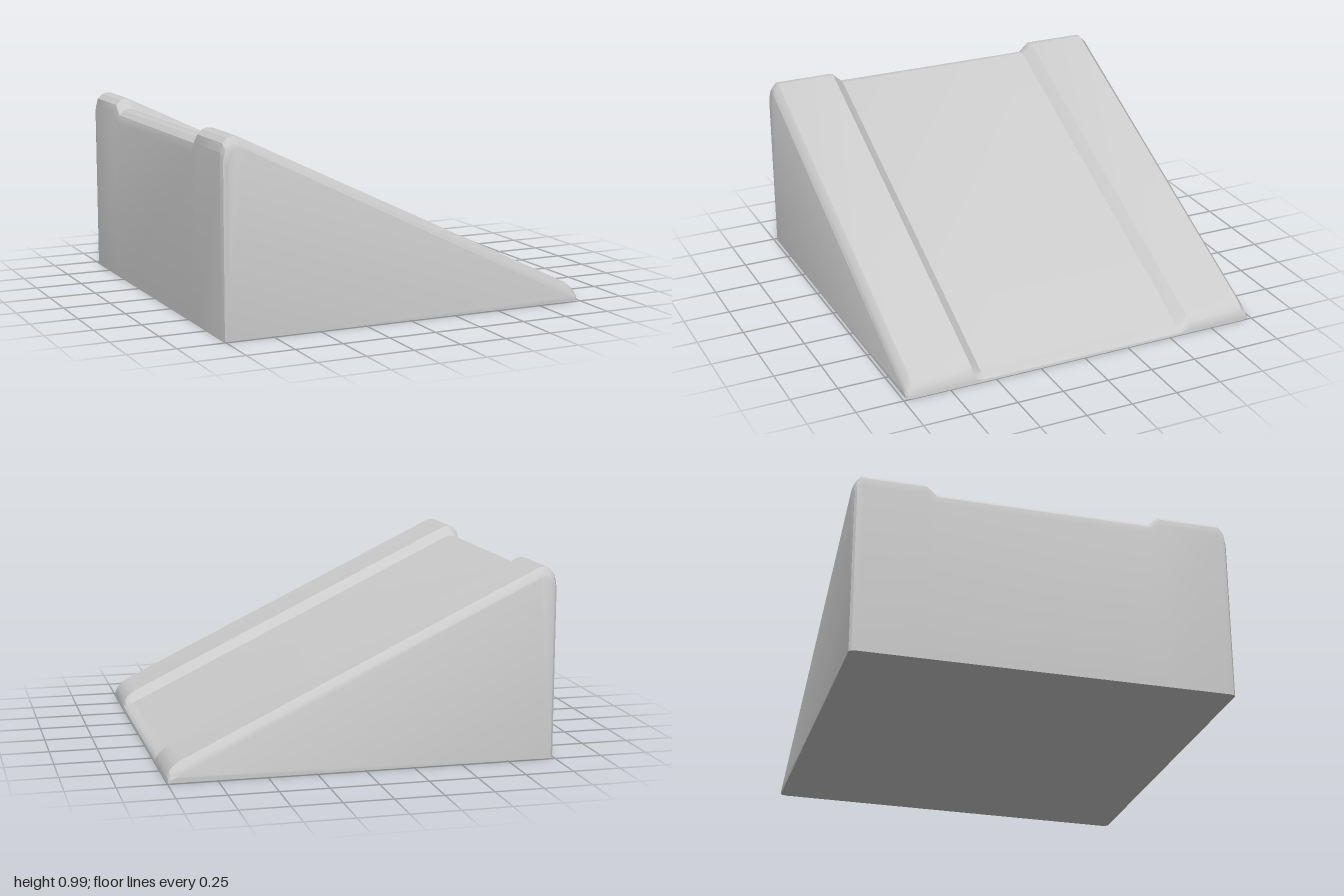
import * as THREE from 'three';
import { toCreasedNormals } from 'three/addons/utils/BufferGeometryUtils.js';

// Side profile of the wedge, from the bottom of the tall end over the slope
const PROFILE = [
  [-1, 0], [-1, 0.91], [-0.988, 0.955], [-0.962, 0.98], [-0.935, 0.987], [-0.91, 0.984],
  [0.93, 0.099], [0.96, 0.078], [0.985, 0.052], [0.997, 0.025], [1, 0],
];

// Half of the cross-sections: z, drop of the top, inset of the ends
const HALF = [
  [0.983, 0.055, 0.018], [0.972, 0.03, 0.005], [0.945, 0, 0],
  [0.62, 0, 0], [0.565, 0.05, 0],
];

function section([z, drop, inset]) {
  return PROFILE.map(([x, y]) => [x * (1 - inset), y - drop * Math.min(1, y / 0.09), z]);
}

function wedgeGeometry() {
  const mirrored = HALF.map(([z, d, s]) => [-z, d, s]);
  const rings = [...mirrored, ...[...HALF].reverse()].map(section);
  const n = PROFILE.length, last = rings.length - 1;
  const index = [];
  // Skin between neighbouring sections, including the base
  for (let i = 0; i < last; i++) {
    for (let j = 0; j < n; j++) {
      const k = (j + 1) % n;
      const a = i * n + j, b = i * n + k, c = a + n, d = b + n;
      index.push(a, c, d, a, d, b);
    }
  }
  // Flat side walls
  for (let j = 1; j < n - 1; j++) {
    index.push(0, j, j + 1);
    index.push(last * n, last * n + j + 1, last * n + j);
  }
  const geometry = new THREE.BufferGeometry();
  geometry.setAttribute('position', new THREE.Float32BufferAttribute(rings.flat(2), 3));
  geometry.setIndex(index);
  return toCreasedNormals(geometry, 0.45);
}

export function createModel() {
  const group = new THREE.Group();
  group.name = 'ramp';
  // Wedge with a shallow channel between two raised side rails
  const ramp = new THREE.Mesh(wedgeGeometry(), new THREE.MeshStandardMaterial({ color: 0xcccccc }));
  ramp.name = 'rampBody';
  group.add(ramp);
  return group;
}
